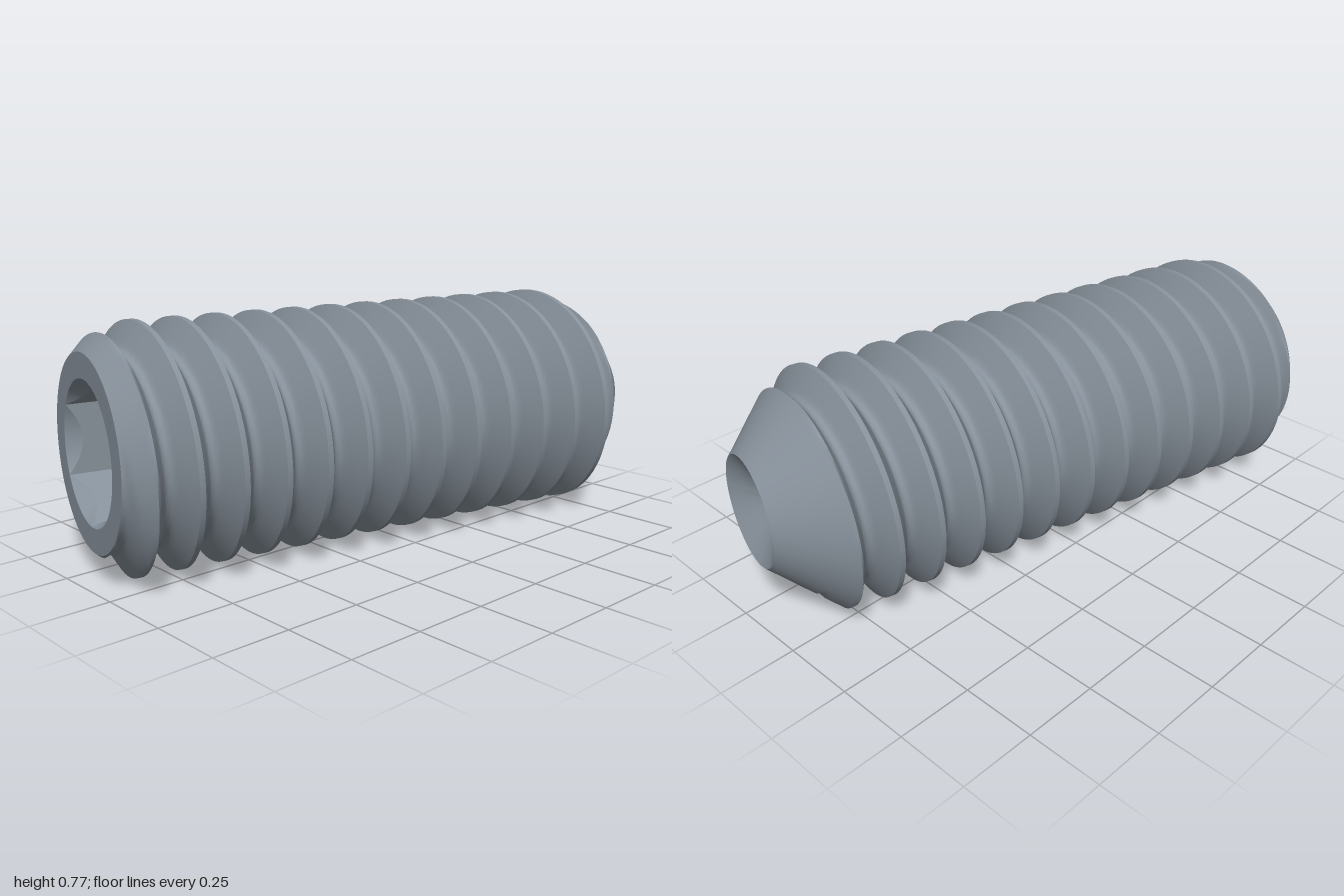
import * as THREE from 'three';
import { toCreasedNormals } from 'three/addons/utils/BufferGeometryUtils.js';

const SEG = 120;                     // divisions around the axis
const R = 0.3875, PITCH = 0.1363;    // crest radius and thread pitch
const BACK = -0.956, FRONT = 0.982;  // ends along the axis
const BACK_R = 0.304, TIP_R = 0.18;  // radii of the end rims
const SOCKET_R = 0.225, APOTHEM = 0.195;

// Surface around the x axis: point(row, angle) returns [position along axis, radius]
function around(rows, point) {
  const pos = [], index = [];
  for (let i = 0; i < rows; i++) {
    for (let j = 0; j <= SEG; j++) {
      const a = (j / SEG) * Math.PI * 2;
      const [s, r] = point(i, a);
      pos.push(s, r * Math.cos(a), r * Math.sin(a));
    }
  }
  const w = SEG + 1;
  const same = (a, b) => [0, 1, 2].every(k => Math.abs(pos[a * 3 + k] - pos[b * 3 + k]) < 1e-7);
  const tri = (a, b, c) => {
    if (!same(a, b) && !same(b, c) && !same(a, c)) index.push(a, b, c);
  };
  for (let i = 0; i < rows - 1; i++) {
    for (let j = 0; j < SEG; j++) {
      const a = i * w + j, b = a + 1, c = a + w, d = c + 1;
      tri(a, b, c);
      tri(b, d, c);
    }
  }
  const geo = new THREE.BufferGeometry();
  geo.setAttribute('position', new THREE.Float32BufferAttribute(pos, 3));
  geo.setIndex(index);
  return toCreasedNormals(geo, 0.55);
}

// Thread depth at t pitches from a crest: flat crest, 60 degree flanks, round root
function threadDepth(t) {
  const d = Math.min(t, 1 - t);
  if (d <= 0.0625) return 0;
  if (d <= 0.375) return (d - 0.0625) * 1.732 * PITCH;
  const x = 0.5 - d;
  return (0.469 + Math.sqrt(0.144 ** 2 - x * x)) * PITCH;
}

export function createModel() {
  const steel = new THREE.MeshStandardMaterial({ color: 0x87919b });
  steel.name = 'steel grey';

  const screw = new THREE.Group();
  screw.name = 'setScrew';
  const add = (name, geo) => {
    const mesh = new THREE.Mesh(geo, steel);
    mesh.name = name;
    screw.add(mesh);
  };

  // Right-handed thread, cut by a 45 degree chamfer at the back and a cone at the tip
  const half = [0, 0.0625, 0.115, 0.167, 0.219, 0.271, 0.323, 0.375, 0.415, 0.457, 0.5];
  const steps = [...half, ...half.slice(1, -1).reverse().map(t => 1 - t)];
  const turns = 17;
  add('threadedBody', around(steps.length * turns, (i, a) => {
    const t = steps[i % steps.length];
    const k = Math.floor(i / steps.length) - 3;
    const s = -0.788 + PITCH * (k + t + a / (Math.PI * 2));
    const x = THREE.MathUtils.clamp(s, BACK, FRONT);
    const cut = Math.min(BACK_R + (x - BACK), TIP_R + (FRONT - x));
    // At the ends the clamped rows close onto the rim circles
    return [x, x === s ? Math.min(R - threadDepth(t), cut) : cut];
  }));

  // Conical cup in the tip
  add('cupPoint', around(5, i => [FRONT - 0.105 * i / 4, TIP_R * (1 - i / 4)]));

  // Back face with a countersunk hexagon socket, corners up and down
  const hexRadius = a => APOTHEM / Math.cos((a % (Math.PI / 3)) - Math.PI / 6);
  add('hexSocket', around(5, (i, a) => {
    const h = hexRadius(a);
    return [
      [BACK + 0.47, 0],
      [BACK + 0.45, h],
      [BACK + (SOCKET_R - h) * 1.6, h],
      [BACK, Math.max(SOCKET_R, h)],
      [BACK, BACK_R],
    ][i];
  }));

  screw.rotation.y = -0.2126;
  screw.position.y = R;

  const model = new THREE.Group();
  model.name = 'model';
  model.add(screw);
  return model;
}
